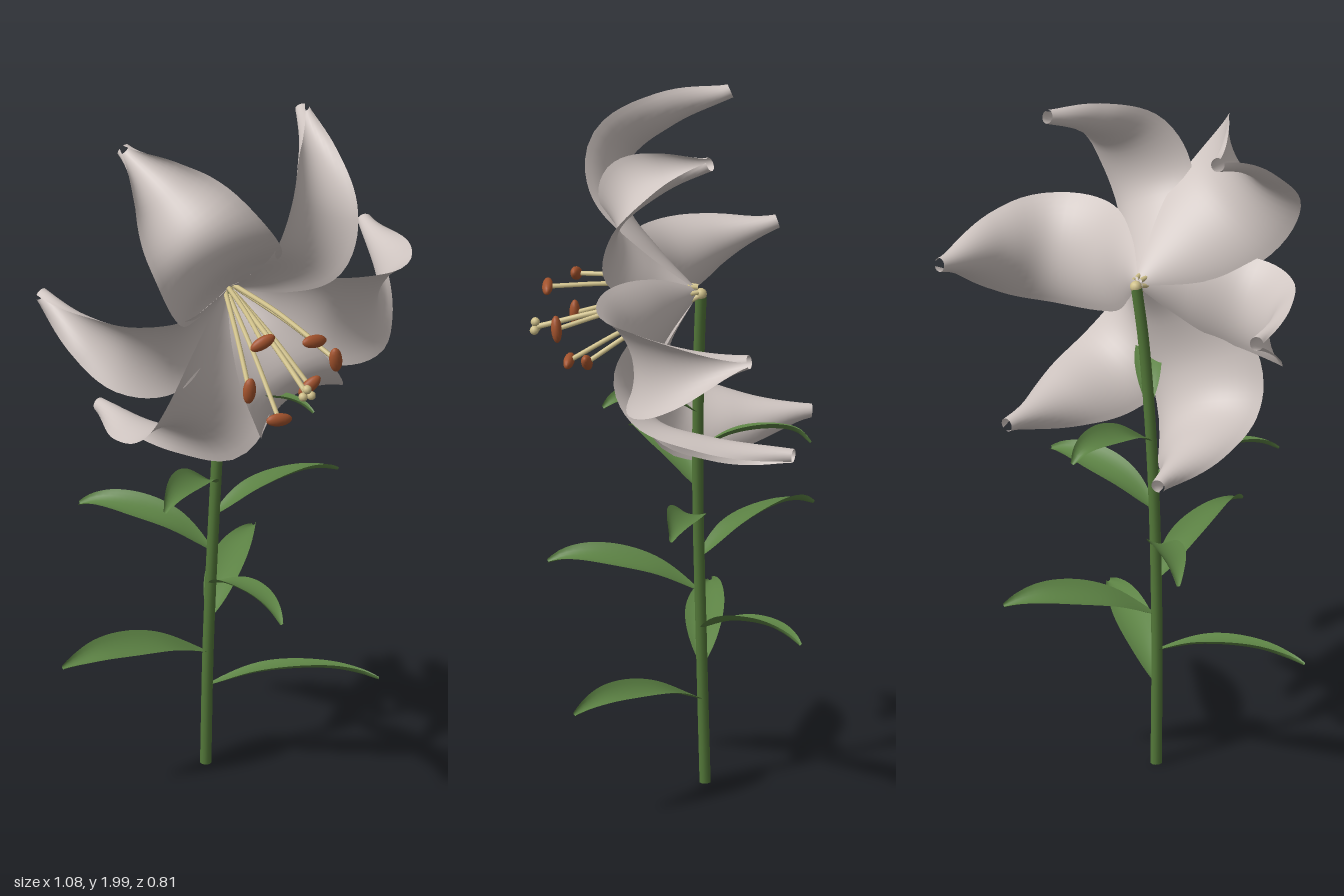
import * as THREE from 'three';

const V = (x, y, z) => new THREE.Vector3(x, y, z);
const mat = (name, color, side = THREE.FrontSide) => {
  const m = new THREE.MeshStandardMaterial({ color, side });
  m.name = name;
  return m;
};

// A cupped blade swept along a curve; its inner face looks along the axis, and it may twist towards the tip.
function bladeGeometry(points, axis, halfWidth, cupAngle, twist = 0, rows = 36, cols = 16) {
  const curve = new THREE.CatmullRomCurve3(points);
  const radial = points[points.length - 1].clone().sub(points[0]);
  radial.addScaledVector(axis, -radial.dot(axis)).normalize();
  const across = axis.clone().cross(radial).normalize();
  const pos = [], index = [];
  for (let i = 0; i <= rows; i++) {
    const t = i / rows;
    const c = curve.getPointAt(t), tan = curve.getTangentAt(t);
    const side = across.clone().addScaledVector(tan, -across.dot(tan)).normalize().applyAxisAngle(tan, twist * t);
    const inner = tan.clone().cross(side).normalize();
    const phi = cupAngle(t), r = halfWidth(t) / phi;
    for (let j = 0; j <= cols; j++) {
      const a = (j / cols * 2 - 1) * phi;
      const p = c.clone().addScaledVector(side, r * Math.sin(a)).addScaledVector(inner, r * (1 - Math.cos(a)));
      pos.push(p.x, p.y, p.z);
      if (i < rows && j < cols) {
        const k = i * (cols + 1) + j, n = k + cols + 1;
        index.push(k, k + 1, n, k + 1, n + 1, n);
      }
    }
  }
  const g = new THREE.BufferGeometry();
  g.setAttribute('position', new THREE.Float32BufferAttribute(pos, 3));
  g.setIndex(index);
  g.computeVertexNormals();
  return g;
}

export function createModel() {
  const group = new THREE.Group();
  const petalMat = mat('petal white', 0xcfc5c1, THREE.DoubleSide);
  const leafMat = mat('leaf green', 0x5c8244, THREE.DoubleSide);
  const stemMat = mat('stem green', 0x537839);
  const filamentMat = mat('filament cream', 0xcfc08a);
  const antherMat = mat('anther rust', 0xa3532d);
  const add = (name, geo, m, parent = group) => {
    const mesh = new THREE.Mesh(geo, m);
    mesh.name = name;
    parent.add(mesh);
    return mesh;
  };

  // Stem
  const stemCurve = new THREE.CatmullRomCurve3([
    V(-0.07, 0, -0.065), V(-0.065, 0.4, -0.056), V(-0.045, 0.9, -0.05),
    V(-0.02, 1.3, -0.06), V(-0.002, 1.47, -0.07),
  ]);
  add('stem', new THREE.TubeGeometry(stemCurve, 40, 0.016, 12), stemMat);
  const foot = add('stemFoot', new THREE.CircleGeometry(0.016, 12), stemMat);
  foot.rotation.x = Math.PI / 2;
  foot.position.set(-0.07, 0.001, -0.065);
  add('receptacle', new THREE.SphereGeometry(0.017, 12, 8), filamentMat).position.set(0, 1.472, -0.07);

  // Leaves: base height, peak height, tip, half width
  const leaves = new THREE.Group();
  leaves.name = 'leaves';
  group.add(leaves);
  const up = V(0, 1, 0);
  [
    [0.25, 0.34, [0.34, 0.32, 0.21], 0.046],
    [0.355, 0.44, [-0.53, 0.425, 0.03], 0.052],
    [0.46, 0.55, [0.2, 0.53, -0.4], 0.052],
    [0.57, 0.66, [-0.01, 0.635, 0.37], 0.05],
    [0.68, 0.77, [-0.355, 0.745, -0.305], 0.046],
    [0.79, 0.87, [0.32, 0.85, -0.06], 0.046],
    [0.89, 0.98, [-0.29, 0.955, 0.2], 0.044],
    [1.0, 1.08, [-0.03, 1.045, -0.375], 0.044],
    [1.11, 1.195, [0.16, 1.17, 0.17], 0.034],
  ].forEach(([y, peak, tip, w]) => {
    const base = stemCurve.getPoint(0);
    for (let i = 0; i <= 200; i++) {
      const p = stemCurve.getPoint(i / 200);
      if (p.y <= y) base.copy(p);
    }
    const end = V(...tip);
    const at = (f, h) => {
      const p = base.clone().lerp(end, f);
      p.y = h;
      return p;
    };
    const path = [base, at(0.32, y + (peak - y) * 0.66), at(0.7, peak), at(0.88, peak - 0.006), end];
    add('leaf', bladeGeometry(path, up,
      t => 0.004 + 0.006 * t + w * Math.pow(Math.sin(Math.PI * Math.pow(t, 0.9)), 0.9),
      t => 0.55 + 1.2 * Math.pow(t, 8), -0.45, 24, 8), leafMat, leaves);
  });

  // Petals: half width and centre line from throat to tip
  const heart = V(0, 1.48, -0.065);
  const axis = V(0.06, -0.12, 0.46).normalize();
  const petals = new THREE.Group();
  petals.name = 'petals';
  group.add(petals);
  [
    ['upperRightPetal', 0.175, [[-0.06, 1.57, 0.06], [-0.125, 1.68, 0.175], [-0.18, 1.79, 0.185], [-0.235, 1.88, 0.07], [-0.3, 1.95, -0.09]]],
    ['upperLeftPetal', 0.13, [[0.065, 1.56, 0.05], [0.14, 1.66, 0.13], [0.185, 1.78, 0.1], [0.215, 1.87, -0.02], [0.24, 1.94, -0.165]]],
    ['rightPetal', 0.125, [[-0.11, 1.45, 0.035], [-0.24, 1.42, 0.11], [-0.35, 1.425, 0.085], [-0.43, 1.46, -0.01], [-0.505, 1.51, -0.17]]],
    ['leftPetal', 0.155, [[0.12, 1.46, 0.0], [0.27, 1.42, 0.055], [0.395, 1.41, 0.025], [0.45, 1.425, -0.08], [0.48, 1.475, -0.33]]],
    ['lowerRightPetal', 0.18, [[-0.05, 1.35, 0.02], [-0.105, 1.21, 0.05], [-0.15, 1.11, 0.01], [-0.215, 1.075, -0.12], [-0.285, 1.06, -0.32]]],
    ['lowerLeftPetal', 0.13, [[0.06, 1.35, 0.04], [0.115, 1.23, 0.08], [0.155, 1.15, 0.02], [0.18, 1.12, -0.14], [0.195, 1.11, -0.385]]],
  ].forEach(([name, w, pts]) => {
    const path = [heart, ...pts.map(p => V(...p))];
    add(name, bladeGeometry(path, axis,
      t => 0.01 + 0.045 * t * t + w * Math.pow(Math.sin(Math.PI * Math.pow(t, 0.85)), 1.25),
      t => 0.6 + 2.2 * Math.pow(t, 4.5)), petalMat, petals);
  });

  // Stamens: anther centre and the direction of its long axis
  const stamens = new THREE.Group();
  stamens.name = 'stamens';
  group.add(stamens);
  const filament = (end, r, name) => {
    const spread = end.clone().sub(heart);
    spread.addScaledVector(axis, -spread.dot(axis)).normalize();
    const start = heart.clone().addScaledVector(spread, 0.014);
    const mid = start.clone().lerp(end, 0.55).add(V(0, 0.01, 0));
    add(name, new THREE.TubeGeometry(new THREE.CatmullRomCurve3([start, mid, end]), 16, r, 8), filamentMat, stamens);
  };
  [
    [[-0.035, 1.49, 0.295], [0.9, 0.4, 0]],
    [[0.1, 1.495, 0.345], [0.95, -0.15, -0.2]],
    [[0.18, 1.4, 0.3], [-0.1, 1, 0.1]],
    [[0.13, 1.29, 0.225], [0.8, 0.6, 0]],
    [[0.01, 1.245, 0.305], [1, -0.1, -0.05]],
    [[-0.08, 1.355, 0.31], [0.08, 1, 0]],
  ].forEach(([c, d]) => {
    const p = V(...c);
    filament(p, 0.007, 'filament');
    const anther = add('anther', new THREE.SphereGeometry(1, 14, 10), antherMat, stamens);
    anther.scale.set(0.019, 0.039, 0.015);
    anther.position.copy(p);
    anther.quaternion.setFromUnitVectors(up, V(...d).normalize());
  });

  // Pistil with a three-lobed stigma
  const stigma = V(0.062, 1.358, 0.385);
  filament(stigma, 0.008, 'pistil');
  for (let i = 0; i < 3; i++) {
    const a = Math.PI / 2 + i * Math.PI * 2 / 3;
    add('stigmaLobe', new THREE.SphereGeometry(0.013, 10, 8), filamentMat, stamens)
      .position.set(stigma.x + 0.014 * Math.cos(a), stigma.y + 0.014 * Math.sin(a), stigma.z + 0.004);
  }
  return group;
}
